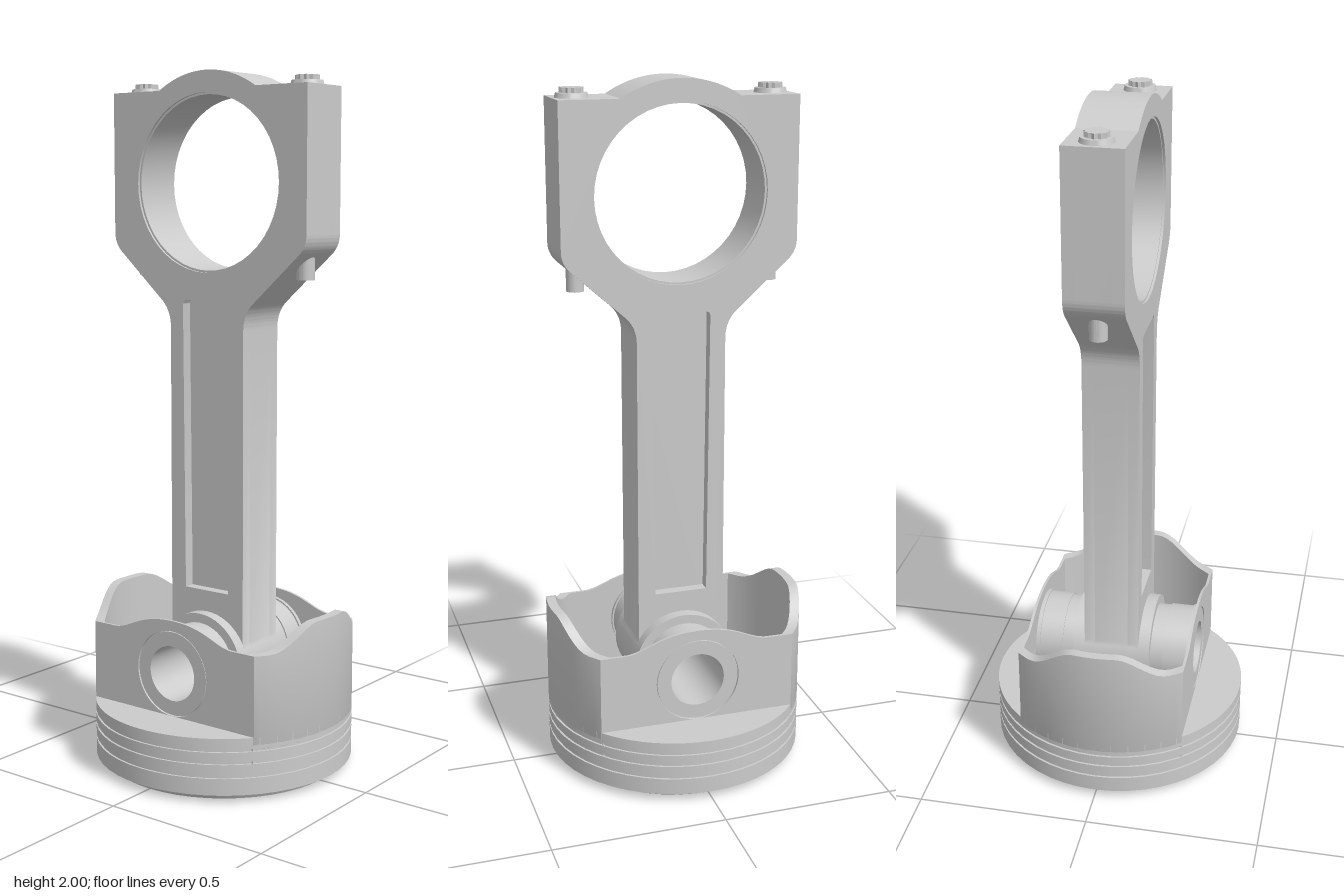
import * as THREE from 'three';
import { toCreasedNormals } from 'three/addons/utils/BufferGeometryUtils.js';

const PIN_Y = 0.31, BIG_Y = 1.69, R = 0.38, FLAT = 0.245, DECK = 0.185, FLOOR = 0.1;

export function createModel() {
  const model = new THREE.Group();
  const grey = new THREE.MeshStandardMaterial({ color: 0xcccccc });
  const greyDouble = new THREE.MeshStandardMaterial({ color: 0xcccccc, side: THREE.DoubleSide });

  const add = (parent, name, geometry, material = grey) => {
    const mesh = new THREE.Mesh(toCreasedNormals(geometry, 0.5), material);
    mesh.name = name;
    parent.add(mesh);
    return mesh;
  };
  const group = (name) => {
    const g = new THREE.Group();
    g.name = name;
    model.add(g);
    return g;
  };
  const lathe = (pts, segments = 48) =>
    new THREE.LatheGeometry(pts.map(([r, y]) => new THREE.Vector2(r, y)), segments);
  const hole = (x, y, r) => new THREE.Path().absarc(x, y, r, 0, Math.PI * 2, true);
  // Extrude a side profile (z, y) across x, centred on the given x
  const acrossX = (shape, width, x = 0) =>
    new THREE.ExtrudeGeometry(shape, { depth: width, bevelEnabled: false, curveSegments: 24 })
      .translate(0, 0, -width / 2).rotateY(Math.PI / 2).translate(x, 0, 0);

  // ---- Piston, crown downwards ----
  const piston = group('piston');
  const crown = [[0, 0.012], [0.325, 0.012], [0.335, 0], [0.345, 0], [0.355, 0.018], [R, 0.022]];
  for (const y of [0.07, 0.11, 0.145]) {
    crown.push([R, y], [R - 0.006, y], [R - 0.006, y + 0.008], [R, y + 0.008]);
  }
  crown.push([R, DECK]);
  add(piston, 'crown', lathe(crown), greyDouble);
  add(piston, 'crownFloor', new THREE.CircleGeometry(R - 0.01, 48).rotateX(-Math.PI / 2).translate(0, FLOOR, 0));

  // Deck: two ledges outside the flats
  const a = Math.acos(FLAT / R);
  for (const s of [1, -1]) {
    const ledge = new THREE.Shape().absarc(0, 0, R, -a, a, false);
    ledge.closePath();
    const deck = new THREE.ShapeGeometry(ledge, 16).rotateX(-Math.PI / 2);
    if (s < 0) deck.rotateY(Math.PI);
    add(piston, 'deckLedge', deck.translate(0, DECK, 0));
  }

  // Skirts: curved walls whose top edge rises in the middle
  const skirtTop = (x) => 0.415 + 0.073 * (1 - THREE.MathUtils.smoothstep(Math.abs(x), 0.06, 0.21));
  const skirtGeometry = () => {
    const n = 28, pos = [], index = [];
    for (let i = 0; i <= n; i++) {
      const x = -FLAT + (2 * FLAT * i) / n, top = skirtTop(x);
      const zo = Math.sqrt(R * R - x * x), zi = Math.sqrt(0.352 ** 2 - x * x);
      pos.push(x, DECK - 0.02, zo, x, top, zo, x, top, zi, x, FLOOR, zi);
    }
    for (let i = 0; i < n; i++) {
      for (let k = 0; k < 4; k++) {
        const p = i * 4 + k, q = i * 4 + ((k + 1) % 4);
        index.push(p, p + 4, q, q, p + 4, q + 4);
      }
    }
    const e = n * 4;
    index.push(0, 1, 2, 0, 2, 3, e, e + 2, e + 1, e, e + 3, e + 2);
    const g = new THREE.BufferGeometry();
    g.setAttribute('position', new THREE.Float32BufferAttribute(pos, 3));
    g.setIndex(index);
    return g;
  };
  add(piston, 'frontSkirt', skirtGeometry(), greyDouble);
  add(piston, 'backSkirt', skirtGeometry().rotateY(Math.PI), greyDouble);

  // Flat side walls with a hump over the pin bore
  const wall = new THREE.Shape();
  wall.moveTo(-0.288, FLOOR);
  wall.lineTo(0.288, FLOOR);
  wall.lineTo(0.288, 0.415);
  wall.lineTo(0.21, 0.415);
  wall.bezierCurveTo(0.15, 0.42, 0.12, 0.465, 0, 0.465);
  wall.bezierCurveTo(-0.12, 0.465, -0.15, 0.42, -0.21, 0.415);
  wall.lineTo(-0.288, 0.415);
  wall.closePath();
  wall.holes.push(hole(0, PIN_Y, 0.125));
  for (const s of [1, -1]) add(piston, 'sideWall', acrossX(wall, 0.008, s * (FLAT - 0.004)));

  // ---- Hollow wrist pin with retaining rings ----
  const pin = lathe([
    [0.08, -0.243], [0.122, -0.243], [0.122, -0.235], [0.13, -0.235], [0.13, -0.224], [0.125, -0.224],
    [0.125, -0.155], [0.121, -0.155], [0.121, 0.155], [0.125, 0.155], [0.125, 0.224], [0.13, 0.224],
    [0.13, 0.235], [0.122, 0.235], [0.122, 0.243], [0.08, 0.243], [0.08, -0.243],
  ]).rotateZ(Math.PI / 2).translate(0, PIN_Y, 0);
  add(model, 'wristPin', pin);

  // ---- Connecting rod ----
  const rod = group('connectingRod');
  const rodShape = (recessed) => {
    const s = new THREE.Shape();
    const t = Math.asin(0.26 / 0.31), b = Math.acos(0.13 / 0.148);
    s.moveTo(0.13, PIN_Y + 0.148 * Math.sin(b));
    s.lineTo(0.13, 1.28);
    s.quadraticCurveTo(0.13, 1.33, 0.165, 1.36);
    s.lineTo(0.31, 1.49);
    s.quadraticCurveTo(0.34, 1.515, 0.34, 1.55);
    s.lineTo(0.34, 1.95);
    s.absarc(0, BIG_Y, 0.31, t, Math.PI - t, false);
    s.lineTo(-0.34, 1.95);
    s.lineTo(-0.34, 1.55);
    s.quadraticCurveTo(-0.34, 1.515, -0.31, 1.49);
    s.lineTo(-0.165, 1.36);
    s.quadraticCurveTo(-0.13, 1.33, -0.13, 1.28);
    s.absarc(0, PIN_Y, 0.148, Math.PI - b, Math.PI * 2 + b, false);
    s.holes.push(hole(0, BIG_Y, 0.25), hole(0, PIN_Y, 0.118));
    if (recessed) {
      const r = new THREE.Path();
      r.moveTo(-0.078, 0.52);
      r.lineTo(-0.085, 1.345);
      r.quadraticCurveTo(-0.085, 1.36, -0.07, 1.36);
      r.lineTo(0.07, 1.36);
      r.quadraticCurveTo(0.085, 1.36, 0.085, 1.345);
      r.lineTo(0.078, 0.52);
      r.closePath();
      s.holes.push(r);
    }
    return s;
  };
  add(rod, 'rodWeb', acrossX(rodShape(false), 0.1));
  for (const s of [1, -1]) add(rod, 'rodFlange', acrossX(rodShape(true), 0.032, s * 0.066));

  const ring = (r, inner, w) => {
    const s = new THREE.Shape().absarc(0, 0, r, 0, Math.PI * 2, false);
    s.holes.push(hole(0, 0, inner));
    return acrossX(s, w);
  };
  add(rod, 'smallEndBushing', ring(0.148, 0.118, 0.232).translate(0, PIN_Y, 0));
  add(rod, 'bigEndBearing', ring(0.252, 0.244, 0.15).translate(0, BIG_Y, 0));

  // Cap bolts: washer, twelve-point head and the tip showing below the shoulder
  const star = new THREE.Shape();
  for (let i = 0; i < 24; i++) {
    const r = i % 2 ? 0.029 : 0.034, th = (i * Math.PI) / 12;
    star[i ? 'lineTo' : 'moveTo'](r * Math.cos(th), r * Math.sin(th));
  }
  star.closePath();
  for (const s of [1, -1]) {
    const bolt = group('capBolt');
    bolt.position.z = s * 0.283;
    add(bolt, 'boltWasher', new THREE.CylinderGeometry(0.043, 0.047, 0.014, 32).translate(0, 1.956, 0));
    add(bolt, 'boltHead', new THREE.ExtrudeGeometry(star, { depth: 0.025, bevelEnabled: false })
      .rotateX(-Math.PI / 2).translate(0, 1.952, 0));
    add(bolt, 'boltTip', new THREE.CylinderGeometry(0.025, 0.025, 0.12, 24).translate(0, 1.485, 0));
  }
  return model;
}
